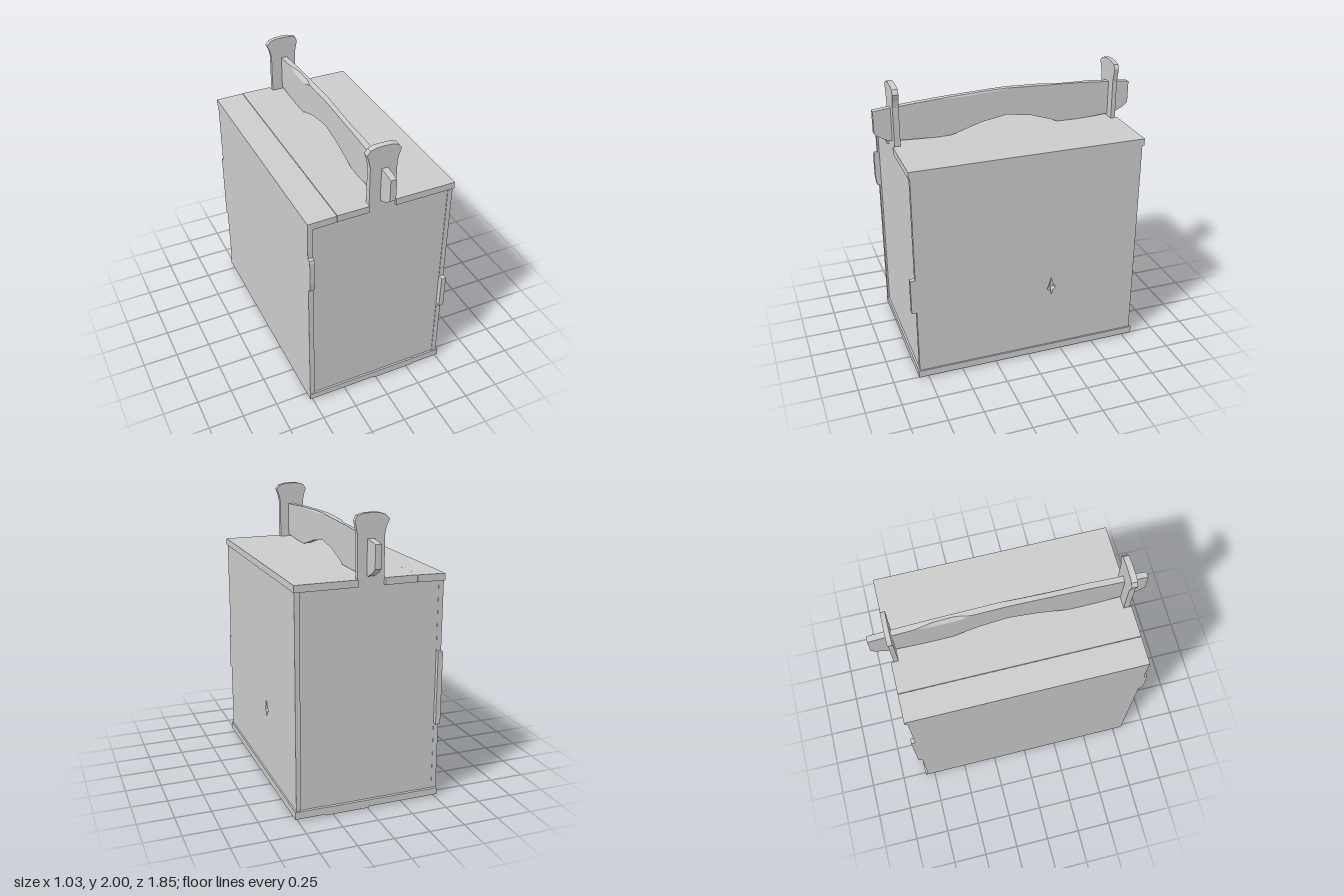
import * as THREE from 'three';

const material = new THREE.MeshStandardMaterial({ color: 0xcccccc, flatShading: true, side: THREE.DoubleSide });

export function createModel() {
  const model = new THREE.Group();
  model.name = 'handledToolBox';

  const add = (name, geometry) => {
    const mesh = new THREE.Mesh(geometry, material);
    mesh.name = name;
    model.add(mesh);
    return mesh;
  };
  const toShape = pts => new THREE.Shape(pts.map(([x, y]) => new THREE.Vector2(x, y)));
  const extrude = (shape, depth) => new THREE.ExtrudeGeometry(shape, { depth, bevelEnabled: false });

  // Horizontal board from an outline of [x, z] corners
  const slab = (name, pts, y0, y1) =>
    add(name, extrude(toShape(pts.map(([x, z]) => [x, -z])), y1 - y0).rotateX(-Math.PI / 2).translate(0, y0, 0));

  // Upright side board from an outline of [z, y] corners
  const sideBoard = (name, pts, x0, x1, hole) => {
    const shape = toShape(pts.map(([z, y]) => [-z, y]));
    if (hole) shape.holes.push(new THREE.Path(hole.map(([z, y]) => new THREE.Vector2(-z, y))));
    return add(name, extrude(shape, x1 - x0).rotateY(Math.PI / 2).translate(x0, 0, 0));
  };

  // Bottom planks, the middle one hanging slightly lower
  const plank = (x0, x1, z) => [[x0, -z], [x1, -z], [x1, z], [x0, z]];
  slab('bottomPlankRight', plank(-0.52, -0.01, 0.82), 0.01, 0.058);
  slab('bottomPlankMiddle', plank(-0.01, 0.3, 0.82), 0, 0.058);
  slab('bottomPlankLeft', plank(0.3, 0.515, 0.82), 0.008, 0.06);

  // Lid: a narrow tilted plank and a wide one notched around the posts
  slab('lidPlankNarrow', plank(-0.52, -0.323, 0.82), 1.538, 1.586).geometry
    .applyMatrix4(new THREE.Matrix4().makeShear(0.02, 0, 0, 0, 0, 0)).translate(0, 0.007, 0);
  slab('lidPlankWide', [
    [-0.32, -0.82], [-0.1, -0.82], [-0.1, -0.77], [0.087, -0.77], [0.087, -0.82], [0.51, -0.82],
    [0.51, 0.82], [0.087, 0.82], [0.087, 0.765], [-0.1, 0.765], [-0.1, 0.82], [-0.32, 0.82],
  ], 1.54, 1.588);

  // Side boards with joint tabs on their upright edges
  sideBoard('rightSideBoard', [
    [0.818, 0.055], [0.818, 1.05], [0.838, 1.06], [0.846, 1.12], [0.846, 1.29], [0.84, 1.31], [0.818, 1.315],
    [0.818, 1.54], [-0.802, 1.54], [-0.802, 1.055], [-0.83, 1.055], [-0.83, 0.54], [-0.802, 0.54], [-0.802, 0.055],
  ], -0.52, -0.485);
  const knot = [[-0.165, 0.62], [-0.15, 0.57], [-0.135, 0.53], [-0.16, 0.515], [-0.168, 0.48], [-0.178, 0.515], [-0.2, 0.54], [-0.18, 0.57]];
  sideBoard('leftSideBoard', [
    [0.81, 0.055], [0.81, 0.54], [0.845, 0.54], [0.845, 0.795], [0.81, 0.795], [0.81, 1.54],
    [-0.808, 1.54], [-0.808, 0.055],
  ], 0.47, 0.504, knot);

  // Shallow dent inside the knot
  const dent = [];
  knot.forEach(([z, y], i) => {
    const [z2, y2] = knot[(i + 1) % knot.length];
    dent.push(0.504, y, z, 0.48, 0.545, -0.168, 0.504, y2, z2);
  });
  const dentGeometry = new THREE.BufferGeometry();
  dentGeometry.setAttribute('position', new THREE.Float32BufferAttribute(dent, 3));
  dentGeometry.computeVertexNormals();
  add('knotDent', dentGeometry);

  // End boards that rise into flared handle posts
  const endBoard = (name, shift, z0, z1) => {
    const shape = toShape([
      [-0.485, 0.055], [0.47, 0.055], [0.47, 1.54], [0.086, 1.54], [0.086, 1.86], [0.096, 1.91],
      [0.112 - shift, 1.955], [0.09, 1.985], [0.045, 1.997], [-0.01, 2], [-0.06, 1.997],
      [-0.1, 1.985], [-0.122 - shift, 1.955], [-0.108, 1.91], [-0.098, 1.86], [-0.098, 1.54], [-0.485, 1.54],
    ]);
    add(name, extrude(shape, z1 - z0).translate(0, 0, z0));
  };
  endBoard('frontEndBoard', 0, 0.765, 0.806);
  endBoard('backEndBoard', 0.008, -0.8, -0.768);

  // Handle lofted along z: [z, bottom, top, worn +x edge, worn -x edge]
  const stations = [
    [-0.925, 1.67, 1.825, 0, 0], [-0.89, 1.64, 1.83, 0, 0], [-0.82, 1.605, 1.837, 0, 0],
    [-0.62, 1.592, 1.853, 0, 0], [-0.5, 1.59, 1.861, 0, 0.018], [-0.38, 1.592, 1.866, 0, 0.021],
    [-0.34, 1.61, 1.867, 0, 0.019], [-0.25, 1.64, 1.871, 0, 0], [-0.19, 1.66, 1.873, 0, 0],
    [-0.05, 1.683, 1.879, 0, 0], [0, 1.69, 1.88, 0.004, 0], [0.04, 1.682, 1.879, 0.005, 0],
    [0.18, 1.658, 1.874, 0.007, 0], [0.27, 1.63, 1.87, 0.007, 0], [0.36, 1.602, 1.866, 0.006, 0],
    [0.4, 1.592, 1.865, 0.005, 0], [0.5, 1.59, 1.86, 0, 0], [0.82, 1.605, 1.837, 0, 0],
    [0.89, 1.64, 1.83, 0, 0], [0.925, 1.67, 1.825, 0, 0],
  ];
  const h = 0.021, positions = [], index = [];
  stations.forEach(([z, bottom, top, wornL, wornR], s) => {
    const ring = [
      [-h, bottom], [h, bottom], [h, top - wornL * 1.5], [h - wornL, top],
      [-h + wornR, top], [-h, top - wornR * 1.5],
    ];
    ring.forEach(([x, y]) => positions.push(x, y, z));
    if (s === 0) return;
    for (let i = 0; i < 6; i++) {
      const a = (s - 1) * 6 + i, b = (s - 1) * 6 + (i + 1) % 6;
      index.push(a, b, b + 6, a, b + 6, a + 6);
    }
  });
  const last = (stations.length - 1) * 6;
  for (let i = 1; i < 5; i++) index.push(0, i + 1, i, last, last + i, last + i + 1);
  const handle = new THREE.BufferGeometry();
  handle.setAttribute('position', new THREE.Float32BufferAttribute(positions, 3));
  handle.setIndex(index);
  const flatHandle = handle.toNonIndexed();
  flatHandle.computeVertexNormals();
  add('handle', flatHandle);

  return model;
}
